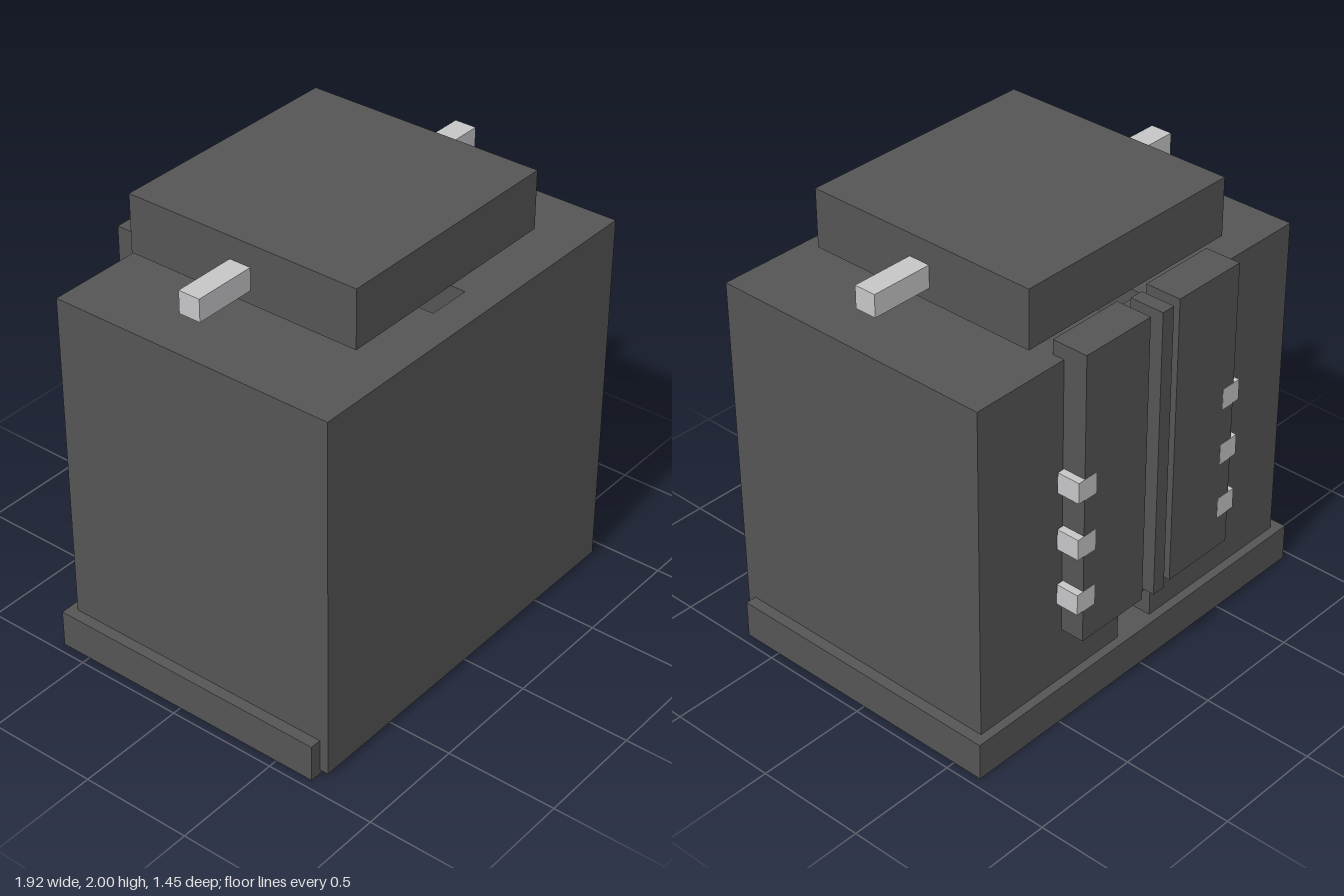
import * as THREE from 'three';

export function createModel() {
  const model = new THREE.Group();
  const dark = new THREE.MeshStandardMaterial({ color: 0x555555 });
  dark.name = 'dark grey';
  const light = new THREE.MeshStandardMaterial({ color: 0xc6c6c8 });
  light.name = 'light grey';

  function add(name, geometry, material) {
    const mesh = new THREE.Mesh(geometry, material);
    mesh.name = name;
    model.add(mesh);
    return mesh;
  }

  // Box given by its extent along each axis
  function box(name, [x0, x1], [y0, y1], [z0, z1], material = dark) {
    const g = new THREE.BoxGeometry(x1 - x0, y1 - y0, z1 - z0);
    g.translate((x0 + x1) / 2, (y0 + y1) / 2, (z0 + z1) / 2);
    return add(name, g, material);
  }

  // Base plinth, set slightly back from the front
  box('base', [-0.96, 0.96], [0, 0.17], [-0.64, 0.68]);

  // Body: U-shaped plan with a deep channel open at the back and top
  const plan = new THREE.Shape([
    [-0.91, -0.72], [0.91, -0.72], [0.91, 0.6], [0.1, 0.6],
    [0.1, -0.575], [-0.1, -0.575], [-0.1, 0.6], [-0.91, 0.6],
  ].map(([x, y]) => new THREE.Vector2(x, y)));
  const body = new THREE.ExtrudeGeometry(plan, { depth: 1.655, bevelEnabled: false });
  body.rotateX(-Math.PI / 2);
  body.translate(0, 0.02, 0);
  add('body', body, dark);

  // Lid floating above the body, with a bar sticking out at both sides
  box('lid', [-0.56, 0.56], [1.74, 2], [-0.53, 0.57]);
  box('handleBar', [-0.845, 0.845], [1.8, 1.9], [-0.03, 0.07], light);

  // Slider: plate on the back with a stem running in the channel
  box('sliderPlate', [-0.32, 0.32], [0.385, 1.65], [-0.655, -0.602]);
  box('sliderStem', [-0.098, 0.098], [0.385, 1.65], [-0.602, -0.48]);
  box('centreRail', [-0.032, 0.032], [0.415, 1.74], [-0.725, -0.567]);

  // Back panels, each with three clips on the outer edge
  for (const s of [-1, 1]) {
    const span = (a, b) => (s > 0 ? [a, b] : [-b, -a]);
    box('backPanel', span(0.085, 0.445), [0.415, 1.74], [-0.71, -0.545]);
    for (const y of [0.565, 0.83, 1.095]) {
      box('clip', span(0.38, 0.48), [y, y + 0.095], [-0.711, -0.605], light);
    }
  }

  return model;
}
